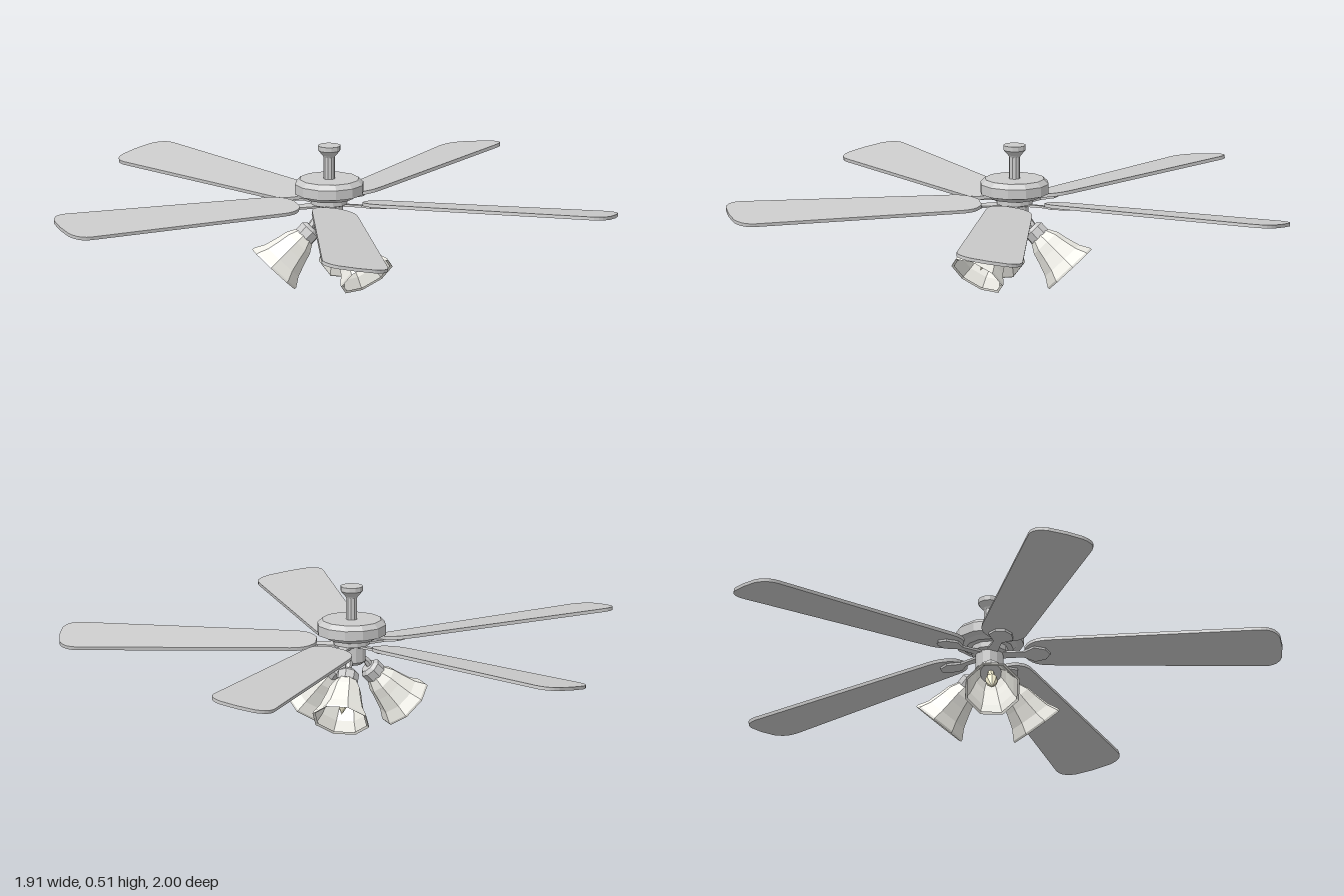
import * as THREE from 'three';

const mat = (color) => new THREE.MeshStandardMaterial({ color, flatShading: true, side: THREE.DoubleSide });
const metal = mat(0xcccccc);
const glass = mat(0xf2f1ea);
const bulbMat = mat(0xf5f0d2);

// Turned part from [radius, height] pairs, listed bottom to top
function turned(name, profile, sides, material = metal) {
  const pts = profile.map(([r, y]) => new THREE.Vector2(r, y));
  const mesh = new THREE.Mesh(new THREE.LatheGeometry(pts, sides), material);
  mesh.name = name;
  return mesh;
}

// Tapered paddle outline, extruded thin and laid flat along +x
function bladeGeometry() {
  const s = new THREE.Shape();
  s.moveTo(0.125, -0.025);
  s.lineTo(0.125, 0.025);
  s.quadraticCurveTo(0.145, 0.08, 0.21, 0.082);
  s.lineTo(0.965, 0.118);
  s.quadraticCurveTo(1.015, 0.118, 1.03, 0.065);
  s.lineTo(1.035, 0);
  s.lineTo(1.03, -0.065);
  s.quadraticCurveTo(1.015, -0.118, 0.965, -0.118);
  s.lineTo(0.21, -0.082);
  s.quadraticCurveTo(0.145, -0.08, 0.125, -0.025);
  const g = new THREE.ExtrudeGeometry(s, { depth: 0.012, bevelEnabled: false, curveSegments: 5 });
  return g.translate(0, 0, -0.006).rotateX(-Math.PI / 2);
}

// Bracket plate from the hub to the underside of a blade
function bracketGeometry() {
  const s = new THREE.Shape();
  s.moveTo(0.03, -0.02);
  s.lineTo(0.12, -0.015);
  s.lineTo(0.16, -0.045);
  s.lineTo(0.2, -0.03);
  s.lineTo(0.215, 0);
  s.lineTo(0.2, 0.03);
  s.lineTo(0.16, 0.045);
  s.lineTo(0.12, 0.015);
  s.lineTo(0.03, 0.02);
  const g = new THREE.ExtrudeGeometry(s, { depth: 0.008, bevelEnabled: false });
  return g.rotateX(-Math.PI / 2).translate(0, -0.014, 0);
}

function createLight() {
  const light = new THREE.Group();
  light.name = 'light';

  // Short curved arm out of the hub
  const path = new THREE.QuadraticBezierCurve3(
    new THREE.Vector3(0.02, 0.262, 0),
    new THREE.Vector3(0.055, 0.262, 0),
    new THREE.Vector3(0.075, 0.21, 0)
  );
  const arm = new THREE.Mesh(new THREE.TubeGeometry(path, 4, 0.013, 6), metal);
  arm.name = 'lightArm';
  light.add(arm);

  // Tilted head: opening faces down and outward
  const head = new THREE.Group();
  head.name = 'lightHead';
  head.position.set(0.06, 0.225, 0);
  head.rotation.z = THREE.MathUtils.degToRad(44);
  head.add(turned('socket', [[0, -0.045], [0.04, -0.045], [0.04, -0.012], [0.028, 0], [0, 0]], 8));
  const shade = turned('shade', [
    [0.094, -0.198], [0.103, -0.203], [0.103, -0.195], [0.082, -0.16],
    [0.066, -0.11], [0.057, -0.075], [0.038, -0.042]
  ], 8, glass);
  shade.rotation.y = Math.PI / 8;
  head.add(shade);
  head.add(turned('bulb', [
    [0, -0.178], [0.01, -0.158], [0.022, -0.125], [0.022, -0.105], [0.012, -0.08], [0.012, -0.045]
  ], 8, bulbMat));
  light.add(head);
  return light;
}

export function createModel() {
  const fan = new THREE.Group();
  fan.name = 'ceilingFan';
  fan.position.x = 0.075;

  // Ceiling mount and rod
  fan.add(turned('ceilingMount', [[0.018, 0.475], [0.024, 0.485], [0.04, 0.503], [0.04, 0.52], [0, 0.52]], 12));
  fan.add(turned('downRod', [[0.02, 0.39], [0.02, 0.485]], 10));

  // Motor housing and hub below it
  fan.add(turned('motorHousing', [
    [0, 0.33], [0.085, 0.33], [0.1, 0.342], [0.123, 0.348], [0.123, 0.383], [0.106, 0.4], [0, 0.4]
  ], 12));
  fan.add(turned('hub', [[0, 0.238], [0.036, 0.238], [0.05, 0.25], [0.05, 0.305], [0.065, 0.31], [0.065, 0.332]], 12));

  // Five pitched blades with brackets
  const bladeGeo = bladeGeometry();
  const bracketGeo = bracketGeometry();
  for (let i = 0; i < 5; i++) {
    const arm = new THREE.Group();
    arm.name = 'bladeArm';
    arm.position.y = 0.316;
    arm.rotation.y = Math.PI + (i * Math.PI * 2) / 5;
    const pitched = new THREE.Group();
    pitched.name = 'pitchedBlade';
    pitched.rotation.x = THREE.MathUtils.degToRad(-8);
    const blade = new THREE.Mesh(bladeGeo, metal);
    blade.name = 'blade';
    const bracket = new THREE.Mesh(bracketGeo, metal);
    bracket.name = 'bladeBracket';
    pitched.add(blade, bracket);
    arm.add(pitched);
    fan.add(arm);
  }

  // Three lights around the hub
  for (let i = 0; i < 3; i++) {
    const light = createLight();
    light.rotation.y = (i * Math.PI * 2) / 3;
    fan.add(light);
  }

  const model = new THREE.Group();
  model.name = 'model';
  model.add(fan);
  return model;
}
